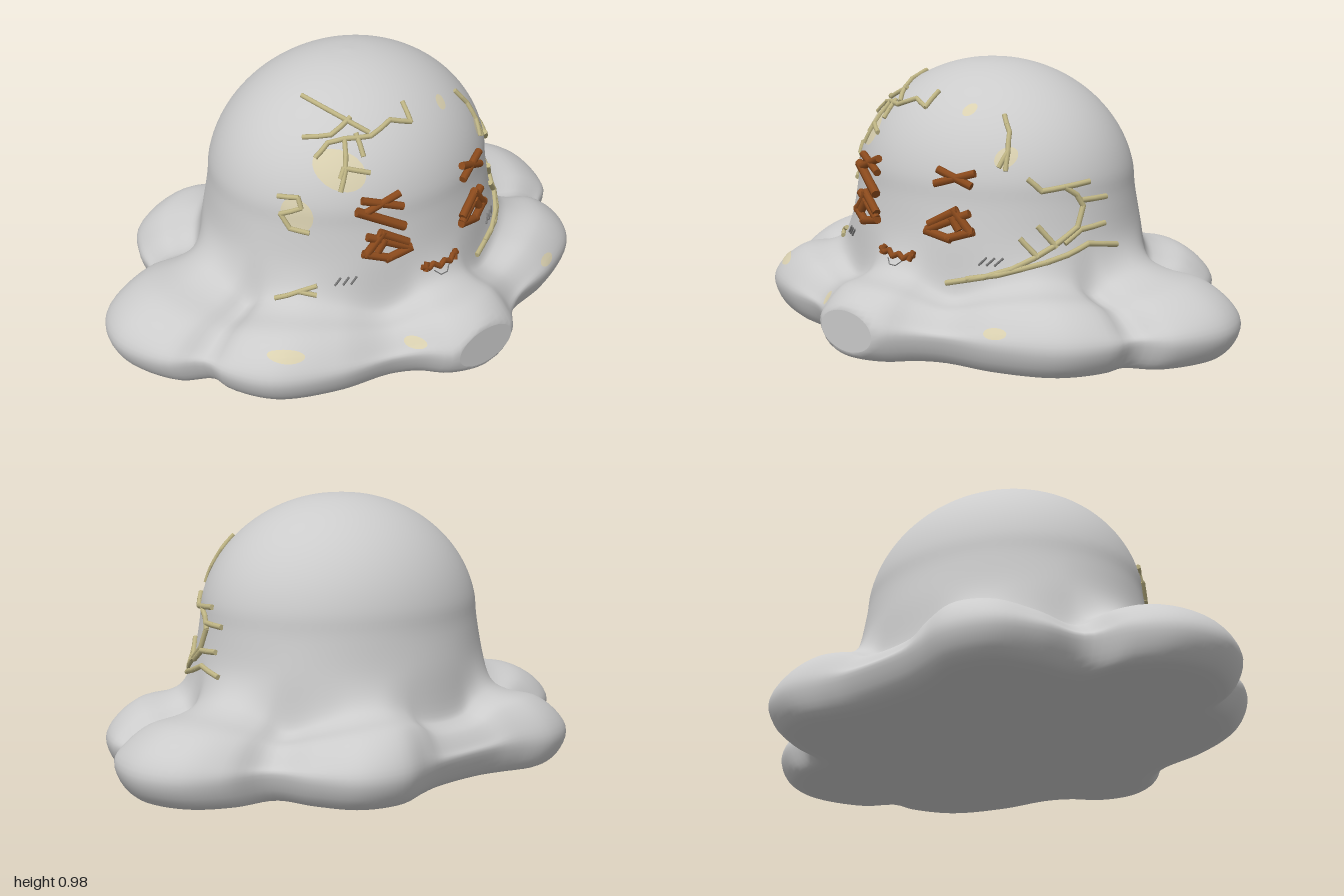
import * as THREE from 'three';
import { mergeGeometries } from 'three/addons/utils/BufferGeometryUtils.js';

const V2 = (x, y) => new THREE.Vector2(x, y);
const V3 = (x, y, z) => new THREE.Vector3(x, y, z);
const mat = (name, color, side = THREE.FrontSide) => {
  const m = new THREE.MeshStandardMaterial({ color, side });
  m.name = name;
  return m;
};

const CZ = -0.03; // z of the dome axis
const FRONT = 0.73; // flat cut of the front lobe

// Half of the skirt outline seen from above: x, lobe height, z
const HALF = [
  [0, 0.26, 0.77], [0.13, 0.25, 0.73], [0.21, 0.22, 0.65], [0.31, 0.2, 0.595], [0.52, 0.24, 0.545],
  [0.72, 0.26, 0.44], [0.81, 0.24, 0.29], [0.825, 0.2, 0.19], [0.93, 0.24, 0.11], [1.0, 0.27, -0.09],
  [0.95, 0.265, -0.25], [0.83, 0.24, -0.34], [0.67, 0.2, -0.385], [0.615, 0.23, -0.54],
  [0.53, 0.26, -0.68], [0.38, 0.27, -0.735], [0.23, 0.25, -0.7], [0.13, 0.21, -0.68],
];

// Skirt lobes and dome as one skin: a profile swept round the lobed outline
function bodyGeometry() {
  const left = HALF.map(([x, h, z]) => V3(x, h, z));
  const right = HALF.slice(1).reverse().map(([x, h, z]) => V3(-x, h, z));
  const outline = new THREE.CatmullRomCurve3([...left, ...right], true);
  const N = 180, M = 80, pos = [], index = [];
  for (let i = 0; i < N; i++) {
    const p = outline.getPointAt(i / N), h = p.y;
    const R = Math.hypot(p.x, p.z - CZ), s = p.x / R, c = (p.z - CZ) / R;
    const D = 1 / Math.hypot(s / 0.54, c / 0.475);
    const inner = D * 1.04, gap = R - inner;
    const profile = [
      V2(0, 0), V2(R - 0.35, 0), V2(R - 0.12, 0), V2(R - 0.04, 0.025), V2(R, 0.11),
      V2(R - 0.11 * gap, 0.7 * h), V2(R - 0.36 * gap, 0.93 * h), V2(R - 0.68 * gap, h + 0.003),
      V2(R - 0.87 * gap, h + 0.04), V2(D * 1.045, 0.39),
    ];
    for (let k = 0; k <= 8; k++) {
      const a = (k / 8) * Math.PI / 2;
      profile.push(V2(D * Math.cos(a), 0.52 + 0.46 * Math.sin(a)));
    }
    const curve = new THREE.SplineCurve(profile);
    for (let j = 0; j <= M; j++) {
      const q = curve.getPoint(j / M);
      pos.push(s * q.x, Math.max(0, q.y), Math.min(FRONT, CZ + c * q.x));
    }
  }
  for (let i = 0; i < N; i++) for (let j = 0; j < M; j++) {
    const a = i * (M + 1) + j, b = ((i + 1) % N) * (M + 1) + j;
    if (j > 0) index.push(a, b, b + 1);
    if (j === 0) index.push(a, b + 1, a + 1);
    else if (j < M - 1) index.push(a, b + 1, a + 1);
  }
  const g = new THREE.BufferGeometry();
  g.setAttribute('position', new THREE.Float32BufferAttribute(pos, 3));
  g.setIndex(index);
  g.computeVertexNormals();
  // Give the crown one shared normal
  for (let i = 0; i < N; i++) g.attributes.normal.setXYZ(i * (M + 1) + M, 0, 1, 0);
  return g;
}

export function createModel() {
  const root = new THREE.Group();
  const grey = mat('body grey', 0xcbcbcb);
  const brown = mat('log brown', 0x8b4a1c);
  const straw = mat('twig straw', 0xbfb584);
  const cream = mat('patch cream', 0xd9d0b0, THREE.DoubleSide);
  const dark = mat('mark grey', 0x777777);
  const add = (name, geo, material) => {
    const m = new THREE.Mesh(geo, material);
    m.name = name;
    root.add(m);
    return m;
  };

  const body = add('body', bodyGeometry(), grey);
  body.updateMatrixWorld(true);
  const cut = new THREE.CircleGeometry(1, 40).scale(0.125, 0.072, 1).translate(0, 0.107, FRONT + 0.001);
  add('frontLobeCut', cut, grey);

  // Points on the skin, cast from the front (x, y) or from the left side (z, y)
  const ray = new THREE.Raycaster();
  const cast = (from, dir, lift) => {
    ray.set(from, dir);
    const hit = ray.intersectObject(body)[0];
    return hit ? hit.point.addScaledVector(hit.face.normal, lift) : null;
  };
  const onFront = (x, y, lift) => cast(V3(x, y, 3), V3(0, 0, -1), lift);
  const onSide = (z, y, lift) => cast(V3(3, y, z), V3(-1, 0, 0), lift);

  // Rods following polylines on the skin
  const rods = (name, lines, radius, material, place = onFront, steps = 2, lift = radius * 0.6) => {
    const parts = [];
    for (const line of lines) {
      for (let i = 0; i + 1 < line.length; i++) {
        const [a, b] = [line[i], line[i + 1]];
        let last = null;
        for (let k = 0; k <= steps; k++) {
          const t = k / steps;
          const p = place(a[0] + (b[0] - a[0]) * t, a[1] + (b[1] - a[1]) * t, lift);
          if (p && last) {
            const d = p.clone().sub(last), len = d.length();
            const g = new THREE.CylinderGeometry(radius, radius, len + radius * 0.6, 8);
            g.applyQuaternion(new THREE.Quaternion().setFromUnitVectors(V3(0, 1, 0), d.normalize()));
            const mid = p.clone().add(last).multiplyScalar(0.5);
            parts.push(g.translate(mid.x, mid.y, mid.z));
          }
          last = p;
        }
      }
    }
    add(name, mergeGeometries(parts), material);
  };

  // Twigs
  rods('crownTwigs', [
    [[0, 0.88], [-0.01, 0.83], [-0.08, 0.85], [-0.17, 0.82], [-0.25, 0.82], [-0.29, 0.73], [-0.32, 0.67]],
    [[-0.27, 0.91], [-0.22, 0.87], [-0.17, 0.83]],
    [[-0.35, 0.82], [-0.28, 0.83], [-0.2, 0.87]],
    [[-0.35, 0.77], [-0.3, 0.81], [-0.25, 0.82]],
    [[-0.22, 0.77], [-0.21, 0.83]],
    [[-0.22, 0.72], [-0.29, 0.74], [-0.31, 0.71]],
  ], 0.009, straw);
  rods('rightTwigs', [
    [[-0.47, 0.64], [-0.43, 0.645], [-0.43, 0.61], [-0.475, 0.58], [-0.46, 0.53], [-0.42, 0.52]],
    [[-0.54, 0.28], [-0.48, 0.31], [-0.43, 0.33]],
    [[-0.48, 0.31], [-0.44, 0.3]],
  ], 0.009, straw);
  rods('browTwig', [[[0.28, 0.82], [0.32, 0.77], [0.34, 0.71], [0.33, 0.66]], [[0.34, 0.71], [0.35, 0.65]]],
    0.009, straw);
  rods('leftTwigs', [
    [[0.26, 0.62], [0.23, 0.58], [0.16, 0.59], [0.12, 0.56], [0.1, 0.52], [0.13, 0.45], [0.22, 0.39],
      [0.34, 0.32], [0.45, 0.26]],
    [[-0.02, 0.37], [0.1, 0.39], [0.18, 0.36], [0.32, 0.32], [0.42, 0.28]],
    [[0.02, 0.45], [0.12, 0.44], [0.18, 0.4]],
    [[0, 0.54], [0.1, 0.54]],
    [[0.07, 0.6], [0.16, 0.59]],
    [[0.25, 0.46], [0.21, 0.39]],
    [[0.3, 0.42], [0.27, 0.36]],
  ], 0.01, straw, onSide);

  // Eyes of stacked logs, with crossed brows
  for (const [side, s] of [['left', 1], ['right', -1]]) {
    const flip = (lines) => lines.map((l) => l.map(([x, y]) => [x * s, y]));
    rods(side + 'Eye', flip([
      [[0.275, 0.435], [0.21, 0.51]], [[0.26, 0.5], [0.125, 0.435]], [[0.22, 0.51], [0.13, 0.455]],
      [[0.28, 0.44], [0.2, 0.412]], [[0.21, 0.41], [0.12, 0.43]], [[0.235, 0.445], [0.21, 0.48]],
    ]), 0.015, brown, onFront, 1, 0.014);
    rods(side + 'Brow', flip([[[0.14, 0.595], [0.265, 0.635]], [[0.145, 0.64], [0.26, 0.595]]]),
      0.014, brown, onFront, 1, 0.016);
    rods(side + 'CheekMarks', flip([0, 1, 2].map((i) => {
      const x = 0.32 + i * 0.024, d = 0.01 * s;
      return [[x - d, 0.33], [x + d, 0.355]];
    })), 0.004, dark, onFront, 1);
  }
  rods('rightBrowLog', [[[-0.285, 0.6], [-0.14, 0.52]]], 0.017, brown, onFront, 1, 0.018);

  // Mouth
  rods('mouth', [
    [[-0.08, 0.34], [-0.055, 0.33], [-0.035, 0.34], [-0.01, 0.322], [0.015, 0.335], [0.04, 0.322],
      [0.06, 0.338], [0.08, 0.338]],
    [[-0.07, 0.325], [-0.06, 0.35]], [[0.065, 0.32], [0.075, 0.35]],
  ], 0.01, brown, onFront, 1);
  rods('lowerLip', [[[-0.035, 0.315], [-0.015, 0.297], [0.015, 0.297], [0.035, 0.315]]], 0.002, dark, onFront, 1);

  // Pale patches laid on the skin: x, y, half width, half height
  const patches = [
    [-0.3, 0.73, 0.07, 0.065], [-0.44, 0.58, 0.035, 0.06], [0.165, 0.835, 0.022, 0.02],
    [0.34, 0.69, 0.03, 0.035], [-0.65, 0.195, 0.05, 0.018], [-0.225, 0.155, 0.03, 0.018],
    [0.505, 0.155, 0.04, 0.017],
  ];
  patches.forEach(([x, y, w, h], i) => {
    const g = new THREE.RingGeometry(0.001, 1, 20, 4);
    const p = g.attributes.position;
    for (let k = 0; k < p.count; k++) {
      const q = onFront(x + p.getX(k) * w, y + p.getY(k) * h, 0.003) || onFront(x, y, 0.003);
      p.setXYZ(k, q.x, q.y, q.z);
    }
    g.computeVertexNormals();
    add('patch' + (i + 1), g, cream);
  });
  return root;
}
